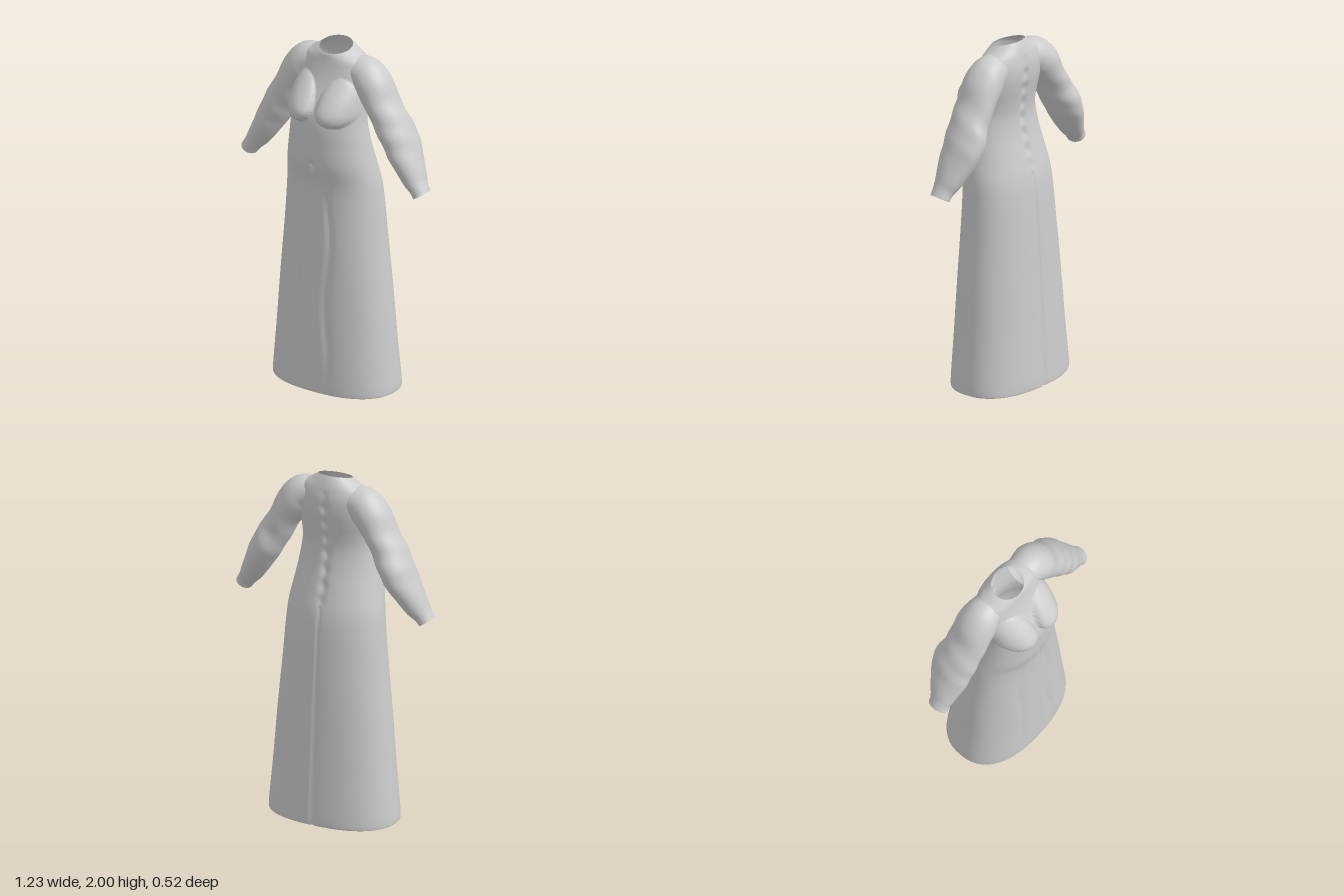
import * as THREE from 'three';

// Smoothly interpolate a table of section rows at t in 0..1
function sampleRows(rows, t) {
  const f = t * (rows.length - 1);
  const i = Math.min(Math.floor(f), rows.length - 2);
  const u = f - i;
  const at = (k) => rows[Math.max(0, Math.min(rows.length - 1, k))];
  return rows[i].map((_, c) => {
    const [a, b, d, e] = [at(i - 1)[c], at(i)[c], at(i + 1)[c], at(i + 2)[c]];
    const m0 = (d - a) / 2, m1 = (e - b) / 2;
    return b + u * m0 + u * u * (3 * (d - b) - 2 * m0 - m1) + u ** 3 * (2 * (b - d) + m0 + m1);
  });
}

// Open tube of cloth: pointAt(t, angle) gives each vertex of the rings
function loft(rings, segments, pointAt) {
  const pos = [], index = [];
  for (let i = 0; i <= rings; i++) {
    for (let j = 0; j < segments; j++) {
      pos.push(...pointAt(i / rings, (j / segments) * Math.PI * 2));
      if (i === rings) continue;
      const a = i * segments + j, b = i * segments + ((j + 1) % segments);
      index.push(a, b, a + segments, b, b + segments, a + segments);
    }
  }
  const geo = new THREE.BufferGeometry();
  geo.setAttribute('position', new THREE.Float32BufferAttribute(pos, 3));
  geo.setIndex(index);
  geo.computeVertexNormals();
  return geo;
}

const bell = (x, w) => Math.exp(-((x / w) ** 2));
const spow = (v, p) => Math.sign(v) * Math.abs(v) ** p;

// Gown sections: height, half width, front z, back z, squareness, neckline tilt
const GOWN = [
  [0, 0.372, 0.235, -0.245, 2.35, 0],
  [0.03, 0.378, 0.24, -0.25, 2.35, 0],
  [0.3, 0.355, 0.232, -0.235, 2.3, 0],
  [0.6, 0.332, 0.223, -0.22, 2.25, 0],
  [0.9, 0.305, 0.214, -0.203, 2.2, 0],
  [1.1, 0.29, 0.21, -0.19, 2.15, 0],
  [1.22, 0.28, 0.215, -0.175, 2.1, 0],
  [1.34, 0.26, 0.236, -0.145, 2.1, 0],
  [1.46, 0.24, 0.24, -0.115, 2.05, 0],
  [1.57, 0.224, 0.238, -0.1, 2.05, 0],
  [1.65, 0.22, 0.22, -0.105, 2.1, 0],
  [1.73, 0.22, 0.178, -0.117, 2.2, 0],
  [1.8, 0.218, 0.142, -0.126, 2.2, 0],
  [1.87, 0.21, 0.115, -0.124, 2.2, 0],
  [1.92, 0.19, 0.102, -0.112, 2.1, 0.004],
  [1.955, 0.135, 0.096, -0.097, 2, 0.012],
  [1.978, 0.096, 0.09, -0.08, 2, 0.022],
];

function gownPoint(t, a) {
  const [y0, w, front, back, n, tilt] = sampleRows(GOWN, t);
  const s = Math.sin(a), c = Math.cos(a);
  const x = w * spow(s, 2 / n);
  const y = y0 - tilt * c;
  let z = (front + back) / 2 + ((front - back) / 2) * spow(c, 2 / n);
  if (c > 0) {
    // bust: rounded and firm below, sloping softly above
    const dx = (Math.abs(x) - 0.118) / 0.105;
    const dy = (y - 1.665) / (y < 1.665 ? 0.085 : 0.17);
    const k = Math.max(0, 1 - dx * dx - dy * dy);
    z += 0.064 * (y < 1.665 ? Math.sqrt(k) : Math.sqrt(k) * (1 - 0.5 * dy * dy));
    // navel and the long folds of the skirt
    z -= 0.012 * bell(x, 0.014) * bell(y - 1.34, 0.022);
    const fade = Math.min(1, Math.max(0, (1.25 - y) / 0.2)) * Math.min(1, y / 0.3);
    const sway = 0.012 * Math.sin(y * 9);
    z -= fade * 0.008 * (bell(x - 0.085 - sway, 0.02) + 0.6 * bell(x + 0.12 + sway, 0.03));
  } else {
    // centre back: spine hollow above, narrow seam below
    const spine = Math.max(0, Math.min(1, (y - 1.2) / 0.15, (1.93 - y) / 0.1));
    z += bell(x, 0.022) * spine * (0.01 + 0.004 * Math.sin(y * 70));
    if (y < 1.25) z += 0.008 * bell(x, 0.006);
  }
  return [x, y, z];
}

// Sleeve sections: centre x, y, z, thickness across, half depth
const SLEEVE = [
  [0.12, 1.862, -0.01, 0.085, 0.09],
  [0.19, 1.84, -0.012, 0.102, 0.105],
  [0.245, 1.785, -0.012, 0.1, 0.116],
  [0.3, 1.697, -0.012, 0.086, 0.116],
  [0.345, 1.62, -0.014, 0.087, 0.117],
  [0.385, 1.55, -0.022, 0.088, 0.125],
  [0.42, 1.485, -0.026, 0.084, 0.126],
  [0.458, 1.415, -0.018, 0.078, 0.114],
  [0.52, 1.31, -0.005, 0.062, 0.083],
  [0.555, 1.262, 0.004, 0.05, 0.063],
  [0.578, 1.228, 0.008, 0.047, 0.06],
];

function sleevePoint(side, t, a) {
  const [cx, cy, cz, r, depth] = sampleRows(SLEEVE, t);
  const p = sampleRows(SLEEVE, Math.max(0, t - 0.04));
  const q = sampleRows(SLEEVE, Math.min(1, t + 0.04));
  const len = Math.hypot(q[0] - p[0], q[1] - p[1]);
  const ux = (p[1] - q[1]) / len, uy = (q[0] - p[0]) / len;
  // gentle wrinkles in the cloth
  const wrinkle = 1 + 0.018 * Math.sin(t * 34 + 2 * a) * Math.sin(Math.PI * t);
  const d = r * wrinkle * Math.cos(a);
  return [side * (cx + ux * d), cy + uy * d, cz + side * depth * wrinkle * Math.sin(a)];
}

export function createModel() {
  const group = new THREE.Group();
  group.name = 'longSleevedGown';
  const cloth = new THREE.MeshStandardMaterial({ color: 0xcccccc, side: THREE.DoubleSide });
  cloth.name = 'grey cloth';

  const add = (name, geometry) => {
    const mesh = new THREE.Mesh(geometry, cloth);
    mesh.name = name;
    group.add(mesh);
  };
  add('gownBody', loft(160, 192, gownPoint));
  add('leftSleeve', loft(60, 48, (t, a) => sleevePoint(1, t, a)));
  add('rightSleeve', loft(60, 48, (t, a) => sleevePoint(-1, t, a)));
  return group;
}
